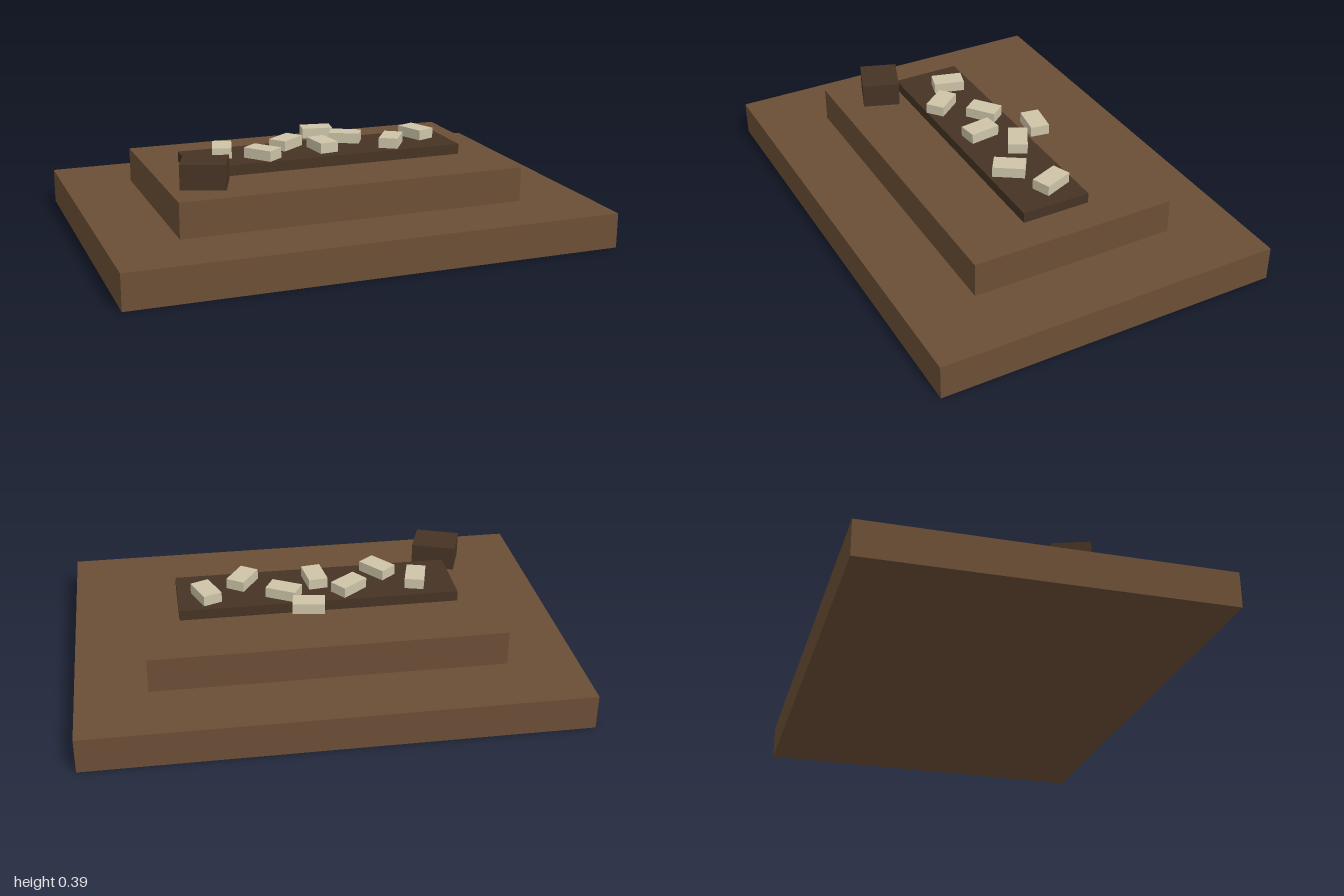
import * as THREE from 'three';

export function createModel() {
  const group = new THREE.Group();
  const material = (name, color) => {
    const m = new THREE.MeshStandardMaterial({ color });
    m.name = name;
    return m;
  };
  const wood = material('brown wood', 0x6b4f36);
  const darkWood = material('dark wood', 0x463424);
  const bone = material('pale bone', 0xcdc4a8);

  // Box standing on height y, turned about the vertical axis
  const block = (name, mat, [w, h, d], [x, y, z], turn = 0) => {
    const mesh = new THREE.Mesh(new THREE.BoxGeometry(w, h, d), mat);
    mesh.name = name;
    mesh.position.set(x, y + h / 2, z);
    mesh.rotation.y = turn;
    group.add(mesh);
  };

  // Stepped platform
  block('base', wood, [2, 0.143, 1.429], [0, 0, 0]);
  block('upperStep', wood, [1.429, 0.143, 0.857], [0, 0.143, 0]);
  block('tray', darkWood, [1.143, 0.043, 0.286], [0, 0.286, 0]);

  // Small chest at the front corner
  block('chest', darkWood, [0.18, 0.1, 0.155], [-0.56, 0.286, 0.229], -0.35);

  // Scattered tiles: x, z, turn
  const tiles = [
    [-0.415, -0.032, 1.3],
    [-0.273, 0.07, -0.9],
    [-0.13, -0.06, 0.65],
    [0, 0.028, -1.44],
    [0.14, -0.072, -0.5],
    [0.298, 0.055, 0.99],
    [0.455, -0.043, -1.2],
    [0.055, -0.2, -0.16],
  ];
  tiles.forEach(([x, z, turn], i) =>
    block(`tile${i + 1}`, bone, [0.129, 0.043, 0.079], [x, 0.329, z], turn));

  return group;
}
